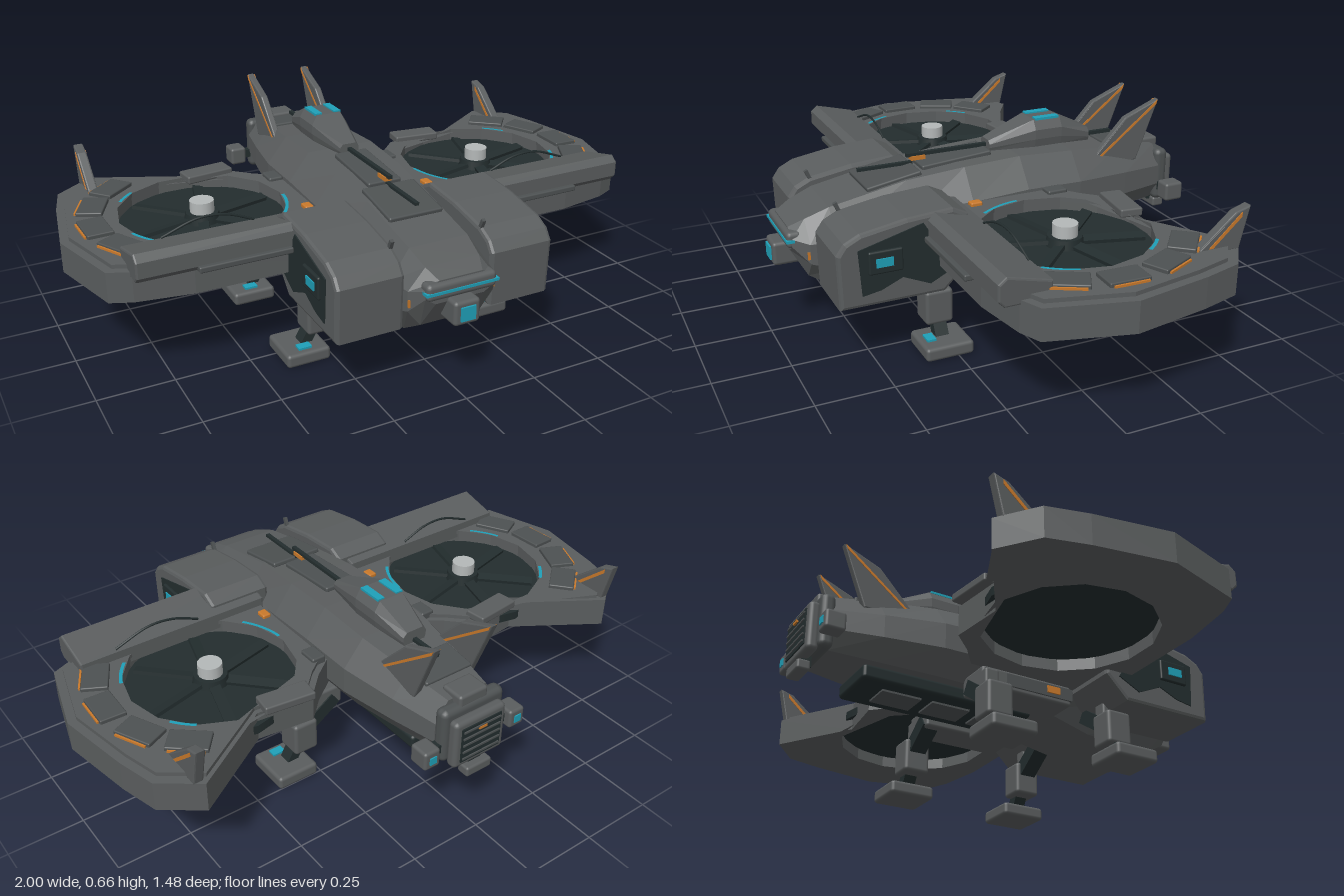
import * as THREE from 'three';
import { RoundedBoxGeometry } from 'three/addons/geometries/RoundedBoxGeometry.js';

const mat = (name, color) => Object.assign(new THREE.MeshStandardMaterial({ color }), { name });

export function createModel() {
  const root = new THREE.Group();
  root.name = 'hoverGunship';
  const grey = mat('hull grey', 0x5a5d5e), panel = mat('panel grey', 0x4d5152),
    dark = mat('dark metal', 0x232d2e), cyan = mat('cyan glass', 0x1fa0b8),
    orange = mat('orange marking', 0xc9792b), pale = mat('pale metal', 0xb4b8b8);

  const add = (name, geo, m, parent = root) => {
    const mesh = new THREE.Mesh(geo, m);
    mesh.name = name;
    parent.add(mesh);
    return mesh;
  };
  const box = (name, m, [w, h, d], [x, y, z], r = 0) => {
    const g = r ? new RoundedBoxGeometry(w, h, d, 2, r) : new THREE.BoxGeometry(w, h, d);
    const mesh = add(name, g, m);
    mesh.position.set(x, y, z);
    return mesh;
  };
  const shapeOf = pts => new THREE.Shape(pts.map(p => new THREE.Vector2(...p)));
  // Side profile given as (z, y), extruded between two x values
  const extrudeX = (pts, xa, xb, bevel = 0) => {
    const lo = Math.min(xa, xb) + bevel, hi = Math.max(xa, xb) - bevel;
    return new THREE.ExtrudeGeometry(shapeOf(pts), {
      depth: hi - lo, bevelEnabled: bevel > 0, bevelSize: bevel,
      bevelOffset: -bevel, bevelThickness: bevel, bevelSegments: 2,
    }).rotateY(-Math.PI / 2).translate(hi, 0, 0);
  };
  // Plan given as (x, z), extruded between two heights
  const extrudeY = (shape, y0, y1) => new THREE.ExtrudeGeometry(shape, { depth: y1 - y0, bevelEnabled: false })
    .rotateX(Math.PI / 2).translate(0, y1, 0);
  // Octagonal sections [z, halfWidth, bottom, top] from front to back
  const loft = (sections, topW = 0.62, botW = 0.7) => {
    const v = [], idx = [], n = 8;
    for (const [z, w, b, t] of sections) {
      const h = t - b;
      for (const [x, y] of [[w, b + h * 0.3], [w, t - h * 0.35], [w * topW, t], [-w * topW, t],
        [-w, t - h * 0.35], [-w, b + h * 0.3], [-w * botW, b], [w * botW, b]]) v.push(x, y, z);
    }
    const last = (sections.length - 1) * n;
    for (let k = 0; k < last; k += n) for (let i = 0; i < n; i++) {
      const a = k + i, c = k + (i + 1) % n;
      idx.push(a, a + n, c + n, a, c + n, c);
    }
    for (let i = 1; i < n - 1; i++) idx.push(0, i, i + 1, last, last + i + 1, last + i);
    const g = new THREE.BufferGeometry();
    g.setAttribute('position', new THREE.Float32BufferAttribute(v, 3));
    g.setIndex(idx);
    const flat = g.toNonIndexed();
    flat.computeVertexNormals();
    return flat;
  };

  // Fuselage
  add('fuselage', loft([[0.69, 0.12, 0.32, 0.395], [0.64, 0.15, 0.23, 0.42], [0.56, 0.165, 0.18, 0.45],
    [0.3, 0.17, 0.195, 0.5], [0.1, 0.19, 0.24, 0.52], [-0.1, 0.195, 0.26, 0.53], [-0.3, 0.19, 0.265, 0.52],
    [-0.5, 0.155, 0.275, 0.5], [-0.66, 0.12, 0.285, 0.48]]), grey);
  box('frontDeckPanel', panel, [0.19, 0.018, 0.19], [0, 0.496, 0.335], 0.006).rotation.x = 0.17;
  box('midDeckPanel', panel, [0.12, 0.02, 0.25], [0, 0.522, 0.1], 0.006).rotation.x = 0.08;
  box('rearDeckPanel', panel, [0.18, 0.018, 0.12], [0, 0.497, -0.52], 0.006).rotation.x = -0.12;
  box('deckBarrel', dark, [0.014, 0.012, 0.3], [0, 0.546, 0.11]);
  box('forwardBarrel', dark, [0.014, 0.01, 0.19], [0, 0.52, 0.335]);
  box('barrelBand', orange, [0.024, 0.014, 0.05], [0, 0.535, 0.22]);
  box('tailRod', dark, [0.014, 0.012, 0.12], [0, 0.53, -0.46]);

  // Dorsal sensor housing
  add('dorsalHousing', loft([[-0.03, 0.035, 0.53, 0.565], [-0.19, 0.065, 0.53, 0.623],
    [-0.29, 0.065, 0.53, 0.623], [-0.41, 0.045, 0.52, 0.565]], 0.7, 0.9), grey);

  // Nose visor and chin sensor
  box('visor', grey, [0.24, 0.055, 0.05], [0, 0.363, 0.68], 0.015);
  box('visorStrip', cyan, [0.25, 0.009, 0.052], [0, 0.362, 0.682]);
  box('chinSensor', grey, [0.09, 0.08, 0.11], [0, 0.292, 0.68], 0.012);
  box('chinLens', cyan, [0.05, 0.046, 0.008], [0, 0.292, 0.737]);

  // Belly bay
  box('bellyBay', dark, [0.2, 0.05, 0.62], [0, 0.242, -0.23], 0.012);
  for (const z of [-0.02, -0.2, -0.38]) box('bellyRib', panel, [0.1, 0.012, 0.14], [0, 0.216, z]);

  // Rear engine grille
  box('tailCollar', panel, [0.24, 0.19, 0.05], [0, 0.375, -0.675], 0.02);
  box('grilleFrame', grey, [0.2, 0.17, 0.04], [0, 0.355, -0.712], 0.015);
  box('grille', dark, [0.155, 0.125, 0.008], [0, 0.355, -0.732]);
  for (let i = 0; i < 5; i++) box('grilleBar', panel, [0.145, 0.006, 0.006], [0, 0.305 + i * 0.025, -0.737]);
  box('grilleLight', orange, [0.03, 0.009, 0.006], [0, 0.4, -0.739]);
  box('tailTopBox', grey, [0.11, 0.042, 0.085], [0, 0.478, -0.65], 0.01);
  box('tailBottomBox', grey, [0.1, 0.035, 0.045], [0, 0.238, -0.718], 0.008);
  box('tailBottomMount', dark, [0.05, 0.05, 0.03], [0, 0.27, -0.7]);

  const cx = 0.53, cz = -0.05;
  for (const s of [1, -1]) {
    // Dorsal window and tail fin
    box('dorsalWindow', cyan, [0.026, 0.008, 0.09], [s * 0.036, 0.624, -0.24]);
    add('tailFin', extrudeX([[-0.35, 0.44], [-0.51, 0.61], [-0.64, 0.662], [-0.56, 0.45]],
      s * 0.097, s * 0.123, 0.005), grey);
    add('tailFinStripe', extrudeX([[-0.36, 0.445], [-0.635, 0.66], [-0.63, 0.645], [-0.37, 0.443]],
      s * 0.095, s * 0.125), orange);
    box('tailPod', grey, [0.06, 0.065, 0.07], [s * 0.17, 0.335, -0.68], 0.01);
    box('tailPodArm', dark, [0.06, 0.03, 0.03], [s * 0.13, 0.335, -0.675]);
    box('tailPodLight', cyan, [0.025, 0.025, 0.006], [s * 0.17, 0.335, -0.716]);
    box('noseLight', orange, [0.02, 0.025, 0.008], [s * 0.14, 0.315, 0.645]);

    // Cheek pod beside the nose
    add('cheekPod', extrudeX([[0.62, 0.22], [0.625, 0.4], [0.6, 0.435], [0.55, 0.46], [0.4, 0.485],
      [0.25, 0.495], [0.2, 0.47], [0.2, 0.3], [0.28, 0.22]], s * 0.15, s * 0.375, 0.012), grey);
    add('cheekRecess', extrudeX([[0.56, 0.41], [0.35, 0.465], [0.25, 0.3], [0.33, 0.26], [0.42, 0.3],
      [0.49, 0.27], [0.55, 0.26]], s * 0.37, s * 0.379), dark);
    box('cheekWindowFrame', dark, [0.02, 0.075, 0.11], [s * 0.378, 0.365, 0.475], 0.006);
    box('cheekWindow', cyan, [0.006, 0.028, 0.055], [s * 0.389, 0.365, 0.48]);
    box('cheekRearVent', dark, [0.13, 0.11, 0.02], [s * 0.29, 0.39, 0.195]);
    box('aerial', panel, [0.012, 0.045, 0.012], [s * 0.16, 0.465, 0.55]).rotation.x = 0.4;

    // Fan housing: lower wall and raised rim, both pierced by the duct
    const plan = [[0.18, -0.2], [0.26, -0.26], [0.33, -0.33], [0.52, -0.31], [0.8, -0.49], [0.92, -0.4],
      [0.955, -0.27], [1, -0.02], [0.93, 0.24], [0.86, 0.27], [0.68, 0.3], [0.18, 0.3]];
    const ring = (k, r) => {
      const sh = shapeOf(plan.map(([x, z]) => [s * (cx + (x - cx) * k), cz + (z - cz) * k]));
      const hole = Array.from({ length: 14 }, (_, i) => new THREE.Vector2(
        s * cx + r * Math.cos(i * Math.PI / 7), cz + r * Math.sin(i * Math.PI / 7)));
      sh.holes.push(new THREE.Path(hole));
      return sh;
    };
    add('fanHousing', extrudeY(ring(1, 0.278), 0.315, 0.415), grey);
    add('fanHousingRim', extrudeY(ring(0.94, 0.275), 0.415, 0.428), grey);

    // Fan
    const fan = add('fanDisc', new THREE.CylinderGeometry(0.28, 0.28, 0.03, 14), dark);
    fan.position.set(s * cx, 0.37, cz);
    for (let i = 0; i < 6; i++) {
      const a = i * Math.PI / 3 + 0.25;
      const blade = box('fanBlade', dark, [0.2, 0.012, 0.035],
        [s * cx + 0.15 * Math.cos(a), 0.395, cz - 0.15 * Math.sin(a)]);
      blade.rotation.set(0.2, a, 0, 'YXZ');
    }
    add('fanSpindle', new THREE.CylinderGeometry(0.055, 0.06, 0.03, 16), dark).position.set(s * cx, 0.4, cz);
    add('fanHub', new THREE.CylinderGeometry(0.04, 0.04, 0.045, 16), pale).position.set(s * cx, 0.432, cz);

    // Glowing arcs on the duct edge
    for (const [a, len] of [[2.5, 0.55], [0.35, 0.4], [-0.9, 0.3]]) {
      const start = s > 0 ? -a - len : Math.PI + a;
      add('ductGlow', new THREE.RingGeometry(0.272, 0.283, 10, 1, start, len).rotateX(-Math.PI / 2), cyan)
        .position.set(s * cx, 0.43, cz);
    }

    // Armour plates around the outer rim
    for (const deg of [-50, -25, 2, 28]) {
      const a = deg * Math.PI / 180, c = Math.cos(a), n = Math.sin(a);
      const place = (name, m, size, r, y) => {
        box(name, m, size, [s * (cx + r * c), y, cz + r * n], size[1] > 0.01 ? 0.004 : 0).rotation.y = -s * a;
      };
      place('rimPlate', panel, [0.085, 0.022, 0.13], 0.355, 0.43);
      place('rimPlateStripe', orange, [0.006, 0.008, 0.11], 0.402, 0.431);
    }
    box('rearRimPlate', grey, [0.17, 0.028, 0.075], [s * 0.42, 0.432, -0.315], 0.006).rotation.y = -s * 0.12;
    box('innerRimPlate', panel, [0.05, 0.03, 0.07], [s * 0.225, 0.425, -0.18], 0.006);
    add('wingFin', extrudeX([[-0.32, 0.42], [-0.45, 0.53], [-0.5, 0.545], [-0.47, 0.41]],
      s * 0.797, s * 0.83, 0.005), grey);
    add('wingFinStripe', extrudeX([[-0.36, 0.43], [-0.47, 0.53], [-0.47, 0.515], [-0.375, 0.43]],
      s * 0.795, s * 0.832), orange);

    // Wing beam along the front of the duct
    add('wingBeam', extrudeX([[0.315, 0.4], [0.335, 0.42], [0.335, 0.47], [0.31, 0.49], [0.17, 0.455], [0.17, 0.4]],
      s * 0.19, s * 0.865, 0.006), grey);
    box('beamFrontPanel', panel, [0.3, 0.02, 0.03], [s * 0.53, 0.412, 0.335], 0.005);
    const wire = new THREE.CatmullRomCurve3([[0.44, 0.46], [0.53, 0.495], [0.62, 0.5], [0.74, 0.46]]
      .map(([x, y]) => new THREE.Vector3(s * x, y, 0.18)));
    add('beamCable', new THREE.TubeGeometry(wire, 16, 0.004, 6), dark);

    // Sponson with marker light, carrying both legs
    box('sponson', grey, [0.13, 0.07, 0.34], [s * 0.19, 0.246, -0.03], 0.01);
    box('sponsonPanel', panel, [0.01, 0.042, 0.25], [s * 0.256, 0.248, 0.015]);
    box('sponsonLight', orange, [0.006, 0.024, 0.048], [s * 0.263, 0.25, 0.065]);
    box('rootLight', orange, [0.03, 0.02, 0.04], [s * 0.225, 0.43, 0.11], 0.005);

    // Landing legs
    for (const z of [0.28, -0.175]) {
      box('legHip', dark, [0.16, 0.05, 0.06], [s * 0.22, 0.195, z]).rotation.z = -s * 0.6;
      box('legMount', grey, [0.05, 0.08, 0.05], [s * 0.25, 0.225, z], 0.008);
      box('legHousing', grey, [0.09, 0.118, 0.093], [s * 0.283, 0.142, z], 0.012);
      box('ankle', dark, [0.035, 0.09, 0.045], [s * 0.31, 0.075, z]).rotation.z = s * 0.5;
      box('foot', grey, [0.15, 0.046, 0.162], [s * 0.34, 0.026, z], 0.012);
      box('footLight', cyan, [0.045, 0.008, 0.03], [s * 0.345, 0.052, z + 0.045]);
    }
  }
  return root;
}
